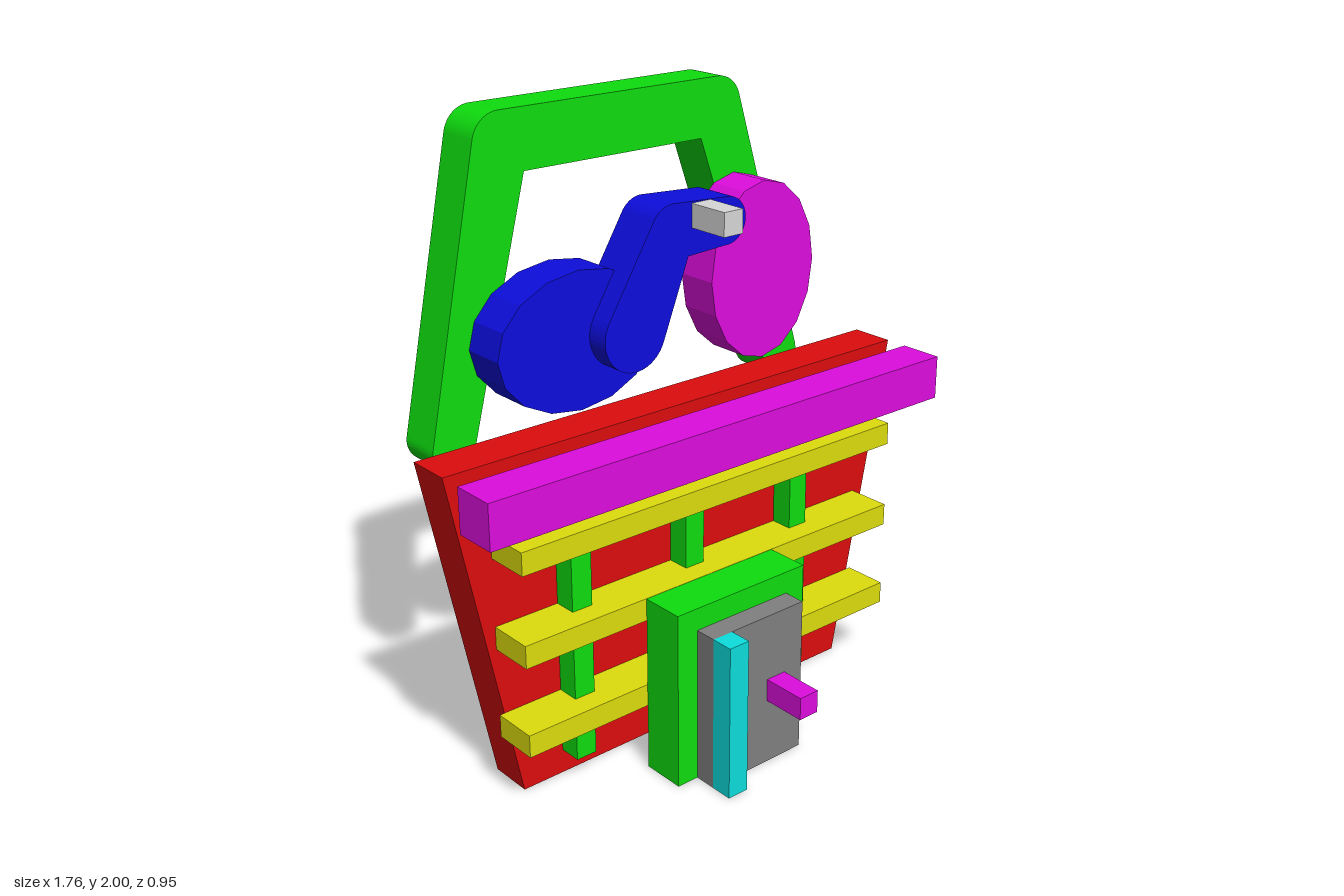
import * as THREE from 'three';

const mat = (name, color) => {
  const m = new THREE.MeshStandardMaterial({ color });
  m.name = name;
  return m;
};

export function createModel() {
  const red = mat('red', 0xdd0d0d);
  const green = mat('green', 0x0edd0e);
  const yellow = mat('yellow', 0xdddd0d);
  const magenta = mat('magenta', 0xdd0ddd);
  const blue = mat('blue', 0x0d0ddd);
  const cyan = mat('cyan', 0x0ddddd);
  const grey = mat('grey', 0x808080);
  const lightGrey = mat('light grey', 0xd8d8d8);

  const group = new THREE.Group();
  group.name = 'basket';

  const add = (name, geometry, material) => {
    const mesh = new THREE.Mesh(geometry, material);
    mesh.name = name;
    group.add(mesh);
    return mesh;
  };

  // Box given by its limits on each axis
  const box = (name, material, x0, x1, y0, y1, z0, z1) => {
    const g = new THREE.BoxGeometry(x1 - x0, y1 - y0, z1 - z0);
    g.translate((x0 + x1) / 2, (y0 + y1) / 2, (z0 + z1) / 2);
    return add(name, g, material);
  };

  // Flat outline given thickness between two depths
  const slab = (name, material, shape, z0, z1) => {
    const g = new THREE.ExtrudeGeometry(shape, { depth: z1 - z0, bevelEnabled: false, curveSegments: 12 });
    g.translate(0, 0, z0);
    return add(name, g, material);
  };

  // Sixteen-sided oval disc
  const oval = (name, material, x, y, rx, ry, z0, z1) => {
    const points = [];
    for (let i = 0; i < 16; i++) {
      const a = (i / 16) * Math.PI * 2;
      points.push(new THREE.Vector2(x + rx * Math.cos(a), y + ry * Math.sin(a)));
    }
    return slab(name, material, new THREE.Shape(points), z0, z1);
  };

  // Tapered basket panel
  const panel = new THREE.Shape();
  panel.moveTo(-0.66, 0);
  panel.lineTo(0.66, 0);
  panel.lineTo(0.88, 1.1);
  panel.lineTo(-0.88, 1.1);
  panel.closePath();
  slab('basketPanel', red, panel, -0.185, -0.04);

  // Woven slats and rim
  for (const x of [-0.477, -0.04, 0.4]) box('uprightSlat', green, x - 0.036, x + 0.036, 0.08, 1.03, -0.04, 0.035);
  for (const y of [0.257, 0.552, 0.846]) box('crossSlat', yellow, -0.735, 0.735, y - 0.037, y + 0.037, -0.04, 0.11);
  box('rim', magenta, -0.88, 0.88, 0.957, 1.1, 0.035, 0.18);

  // Door
  box('doorFrame', green, -0.295, 0.215, 0, 0.588, 0.11, 0.255);
  box('door', grey, -0.22, 0.143, 0, 0.515, 0.255, 0.328);
  box('doorEdge', cyan, -0.22, -0.147, 0, 0.515, 0.328, 0.402);
  box('doorKnob', magenta, 0, 0.072, 0.22, 0.295, 0.328, 0.475);

  // Carrying handle with rounded corners and ends
  const right = 0.313, left = 2.918, half = Math.PI / 2;
  const handle = new THREE.Shape();
  handle.absarc(0.37, 1.908, 0.092, right, half, false);
  handle.absarc(-0.45, 1.908, 0.092, half, left, false);
  handle.absarc(-0.656, 1.031, 0.074, left, left + Math.PI, false);
  handle.lineTo(-0.37, 1.815);
  handle.lineTo(0.3, 1.815);
  handle.absarc(0.656, 1.031, 0.074, right + Math.PI, right + Math.PI * 2, false);
  handle.closePath();
  slab('handle', green, handle, -0.475, -0.33);

  // Bird: body, bent neck with head, eye
  oval('birdBody', blue, -0.294, 1.322, 0.293, 0.217, -0.33, -0.185);
  const neck = new THREE.Shape();
  neck.absarc(0.215, 1.612, 0.075, -1.63, 1.48, false);
  neck.absarc(0, 1.615, 0.085, 1.48, 2.62, false);
  neck.absarc(-0.145, 1.325, 0.115, 2.62, Math.PI * 2 - 0.4, false);
  neck.lineTo(0.06, 1.53);
  neck.closePath();
  slab('birdNeckAndHead', blue, neck, -0.26, -0.11);
  box('birdEye', lightGrey, 0.073, 0.146, 1.615, 1.69, -0.11, 0.035);

  // Egg beside the bird
  oval('egg', magenta, 0.437, 1.397, 0.218, 0.292, -0.33, -0.185);

  return group;
}
